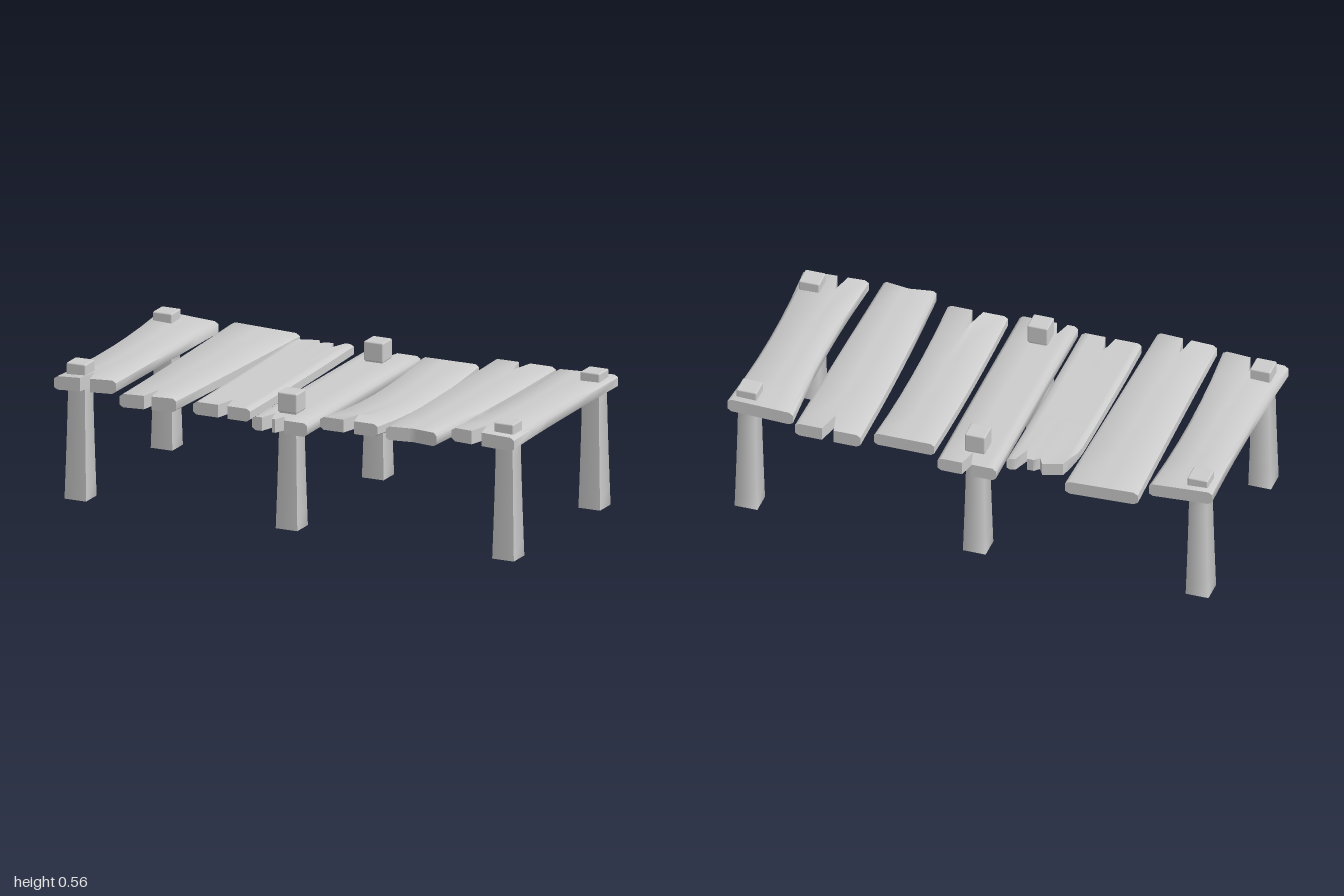
import * as THREE from 'three';
import { mergeVertices, toCreasedNormals } from 'three/addons/utils/BufferGeometryUtils.js';
import { RoundedBoxGeometry } from 'three/addons/geometries/RoundedBoxGeometry.js';

const material = new THREE.MeshStandardMaterial({ color: 0xcccccc });

// Piecewise linear value of a list of [u, value] points
function polyline(points, u) {
  for (let i = 1; i < points.length; i++) {
    const [a, va] = points[i - 1], [b, vb] = points[i];
    if (u <= b + 1e-6) return va + (vb - va) * Math.max(0, (u - a) / (b - a));
  }
  return points[points.length - 1][1];
}

// Smooth curve through the back, middle and front values (t from -1 to 1)
const bend = ([back, mid, front], t) =>
  mid + (front - back) / 2 * t + ((front + back) / 2 - mid) * t * t;

// End profile with V-shaped splits, each [u, depth, halfWidth]
const splits = (...list) => [[0, 0],
  ...list.flatMap(([u, d, w]) => [[u - w, 0], [u, d], [u + w, 0]]), [1, 0]];

// Worn plank: a box whose columns follow the end splits and whose edges are bevelled
function plank({ left, right, y, z, thick = 0.055, twist = 0, front = splits(), back = splits() }) {
  const columns = [0, 0.06, 0.94, 1, ...front.map(p => p[0]), ...back.map(p => p[0])]
    .sort((a, b) => a - b).filter((u, i, all) => i === 0 || u - all[i - 1] > 1e-4);
  const rows = [z[0], -0.28, -0.14, 0, 0.14, 0.28, z[1]];
  const nx = columns.length - 1, nz = rows.length - 1;
  const geometry = new THREE.BoxGeometry(1, 1, 1, nx, 1, nz);
  const p = geometry.attributes.position;
  for (let i = 0; i < p.count; i++) {
    const u = columns[Math.round((p.getX(i) + 0.5) * nx)];
    const row = Math.round((p.getZ(i) + 0.5) * nz);
    const t = rows[row] / (rows[row] < 0 ? -z[0] : z[1]);
    const l = bend(left, t), r = bend(right, t);
    const edge = u === 0 || u === 1 ? 0.62 : 1;
    let pz = rows[row];
    if (row === 0) pz += polyline(back, u);
    if (row === nz) pz -= polyline(front, u);
    p.setXYZ(i, l + (r - l) * u,
      bend(y, t) + p.getY(i) * thick * edge + twist * t * (u - 0.5), pz);
  }
  geometry.deleteAttribute('normal');
  geometry.deleteAttribute('uv');
  return toCreasedNormals(mergeVertices(geometry), 0.95);
}

// Square post, flared towards the ground
function post() {
  const height = 0.5;
  const geometry = new THREE.CylinderGeometry(1, 1, height, 4, 6);
  geometry.rotateY(Math.PI / 4);
  const p = geometry.attributes.position;
  for (let i = 0; i < p.count; i++) {
    const v = p.getY(i) / height + 0.5;
    const half = (0.036 + 0.011 * (1 - v) ** 1.3) * Math.SQRT2;
    p.setXYZ(i, p.getX(i) * half, v * height, p.getZ(i) * half);
  }
  geometry.computeVertexNormals();
  return geometry;
}

export function createModel() {
  const model = new THREE.Group();
  const add = (name, geometry, x = 0, y = 0, z = 0) => {
    const mesh = new THREE.Mesh(geometry, material);
    mesh.name = name;
    mesh.position.set(x, y, z);
    model.add(mesh);
  };

  // Seven deck planks from -x to +x; triples run back, middle, front
  const planks = [
    { left: [-0.995, -0.983, -1], right: [-0.735, -0.748, -0.73], y: [0.492, 0.48, 0.487],
      z: [-0.465, 0.46], twist: 0.015, front: splits([0.5, 0.09, 0.08]) },
    { left: [-0.71, -0.695, -0.685], right: [-0.41, -0.425, -0.44], y: [0.468, 0.468, 0.47],
      z: [-0.525, 0.52], twist: 0.01, front: splits([0.5, 0.1, 0.07]) },
    { left: [-0.397, -0.4, -0.397], right: [-0.148, -0.15, -0.15], y: [0.473, 0.46, 0.455],
      z: [-0.465, 0.455], thick: 0.052, front: splits([0.52, 0.09, 0.08]),
      back: [[0, 0.135], [0.11, 0.035], [0.42, 0.01], [0.5, 0.045], [0.58, 0.025],
        [0.69, 0.025], [0.76, 0.08], [0.86, 0.01], [1, 0]] },
    { left: [-0.12, -0.12, -0.12], right: [0.12, 0.12, 0.12], y: [0.444, 0.444, 0.442],
      z: [-0.51, 0.5], front: splits([0.27, 0.075, 0.09], [0.5, 0.05, 0.08]),
      back: splits([0.5, 0.08, 0.08]) },
    { left: [0.152, 0.157, 0.152], right: [0.4, 0.398, 0.4], y: [0.464, 0.437, 0.464],
      z: [-0.455, 0.45], thick: 0.052, front: splits([0.5, 0.09, 0.09]) },
    { left: [0.437, 0.445, 0.463], right: [0.707, 0.698, 0.682], y: [0.478, 0.472, 0.478],
      z: [-0.51, 0.503], front: [[0, 0], [0.5, 0.017], [1, 0]],
      back: splits([0.5, 0.1, 0.09]) },
    { left: [0.73, 0.75, 0.728], right: [1, 0.982, 0.998], y: [0.492, 0.485, 0.492],
      z: [-0.465, 0.46], twist: -0.01, front: splits([0.4, 0.09, 0.08]) },
  ];
  planks.forEach((spec, i) => add(`plank${i + 1}`, plank(spec)));

  // Three pairs of posts, each with a square head above the deck
  const postGeometry = post();
  const headGeometry = new RoundedBoxGeometry(0.084, 0.08, 0.084, 2, 0.006);
  for (const x of [-0.925, -0.008, 0.932]) {
    for (const z of [-0.393, 0.375]) {
      const side = z > 0 ? 'front' : 'back';
      add(`${side}Post`, postGeometry, x, 0, z);
      add(`${side}PostHead`, headGeometry, x, 0.515, z);
    }
  }
  return model;
}
